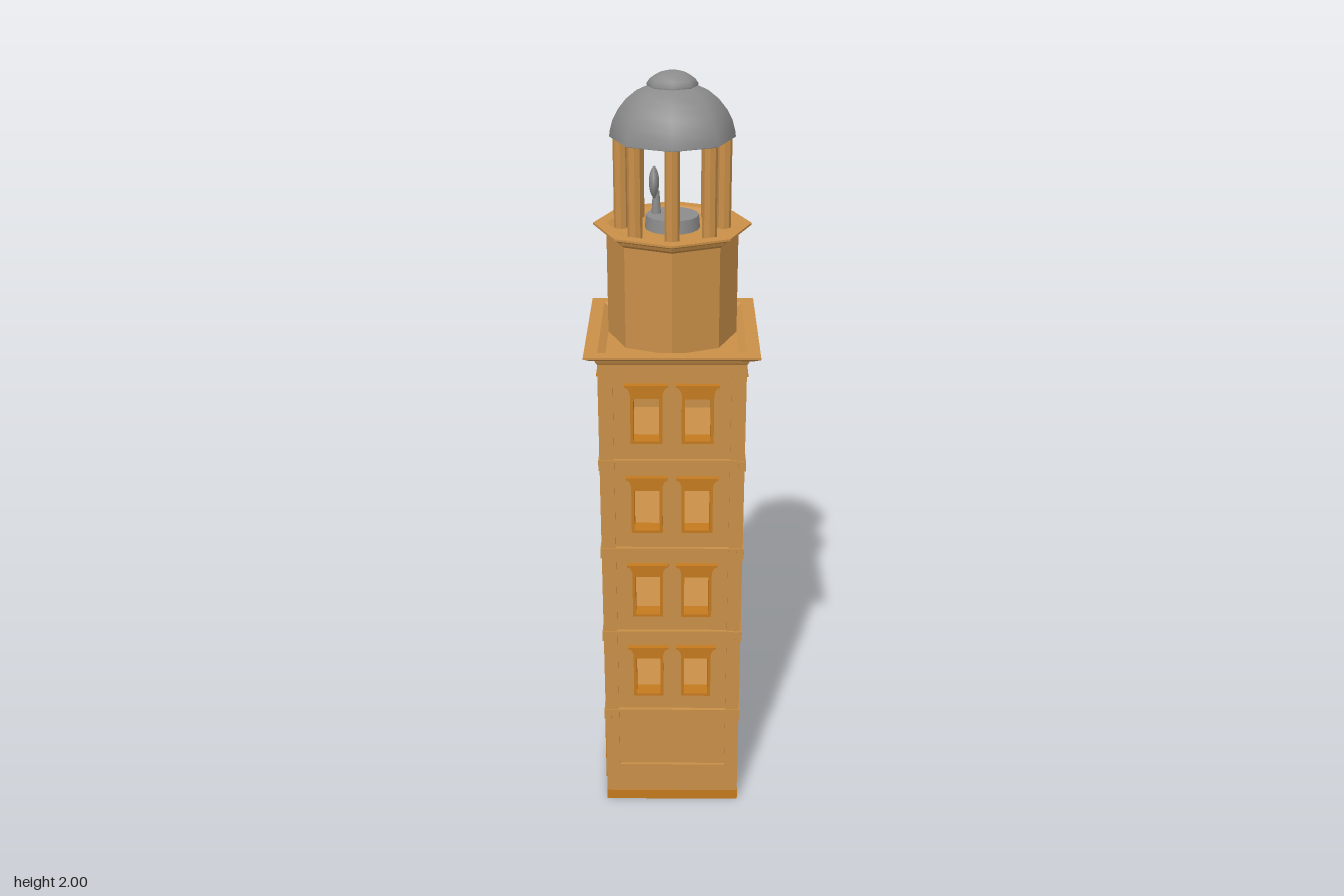
import * as THREE from 'three';

const stone = new THREE.MeshStandardMaterial({ color: 0xc98f48, flatShading: true });
const trim = new THREE.MeshStandardMaterial({ color: 0xc47a1e, flatShading: true });
const metal = new THREE.MeshStandardMaterial({ color: 0x8c8c8c });

const HALF = 0.183, PANEL = 0.176, PITCH = 0.2545;
const floors = [0, 1, 2, 3];

function add(parent, name, geometry, material, x = 0, y = 0, z = 0) {
  const mesh = new THREE.Mesh(geometry, material);
  mesh.name = name;
  mesh.position.set(x, y, z);
  parent.add(mesh);
  return mesh;
}
const box = (w, h, d) => new THREE.BoxGeometry(w, h, d);
const path = (points, Type = THREE.Shape) => new Type(points.map(p => new THREE.Vector2(...p)));
const rect = (x, y0, y1, hw, Type) => path([[x - hw, y0], [x + hw, y0], [x + hw, y1], [x - hw, y1]], Type);

// Round-topped outline standing on y0
function arch(hw, y0, top, Type = THREE.Shape) {
  const s = new Type();
  s.moveTo(-hw, y0);
  s.lineTo(hw, y0);
  s.lineTo(hw, top - hw);
  s.absarc(0, top - hw, hw, 0, Math.PI, false);
  s.lineTo(-hw, y0);
  return s;
}

// Extrusion running from z0 to z1
function slab(shape, z0, z1) {
  return new THREE.ExtrudeGeometry(shape, { depth: z1 - z0, bevelEnabled: false, curveSegments: 10 }).translate(0, 0, z0);
}
function lathe(points, sides, start = 0) {
  return new THREE.LatheGeometry(points.map(p => new THREE.Vector2(...p)), sides, start);
}

function addWindow(wall, x, dy) {
  const frame = rect(x, 0.353 + dy, 0.495 + dy, 0.04);
  frame.holes.push(rect(x, 0.36 + dy, 0.475 + dy, 0.032, THREE.Path));
  add(wall, 'windowFrame', slab(frame, 0.14, 0.182), trim);
  const lintel = path([[x - 0.04, 0.488 + dy], [x + 0.04, 0.488 + dy], [x + 0.044, 0.5 + dy],
    [x + 0.053, 0.508 + dy], [x + 0.053, 0.514 + dy], [x - 0.053, 0.514 + dy],
    [x - 0.053, 0.508 + dy], [x - 0.044, 0.5 + dy]]);
  add(wall, 'windowLintel', slab(lintel, 0.17, 0.185), trim);
  add(wall, 'windowCap', box(0.108, 0.006, 0.02), trim, x, 0.511 + dy, 0.18);
}

// One side of the shaft, facing +z
function makeWall(hasDoor) {
  const wall = new THREE.Group();
  wall.name = hasDoor ? 'doorWall' : 'wall';
  const sheet = rect(0, 0.02, 1.345, 0.152);
  for (const i of floors) for (const x of [-0.064, 0.064])
    sheet.holes.push(rect(x, 0.355 + i * PITCH, 0.49 + i * PITCH, 0.038, THREE.Path));
  if (hasDoor) sheet.holes.push(arch(0.062, 0.025, 0.255, THREE.Path));
  add(wall, 'wallPanel', slab(sheet, 0.145, PANEL), stone);
  for (const i of floors) for (const x of [-0.064, 0.064]) addWindow(wall, x, i * PITCH);

  // Raised strips above and below the recessed panel
  add(wall, 'upperStrip', box(0.3, 0.045, 0.02), stone, 0, 1.325, HALF - 0.01);
  if (hasDoor) {
    for (const s of [-1, 1]) add(wall, 'lowerStrip', box(0.07, 0.12, 0.02), stone, s * 0.115, 0.06, HALF - 0.01);
    const surround = arch(0.085, 0, 0.28);
    surround.holes.push(arch(0.06, 0.004, 0.255, THREE.Path));
    add(wall, 'doorSurround', slab(surround, 0.14, 0.191), trim);
    add(wall, 'door', slab(arch(0.064, 0.01, 0.258), 0.132, 0.142), trim);
  } else {
    add(wall, 'lowerStrip', box(0.3, 0.12, 0.02), stone, 0, 0.06, HALF - 0.01);
  }
  // Corner post
  add(wall, 'cornerPost', box(0.037, 1.335, 0.037), stone, HALF - 0.0185, 0.6775, HALF - 0.0185);
  return wall;
}

export function createModel() {
  const model = new THREE.Group();
  model.name = 'tower';

  // Shaft
  add(model, 'plinth', box(0.368, 0.03, 0.368), trim, 0, 0.015, 0);
  for (let i = 0; i < 4; i++) {
    const wall = makeWall(i === 3);
    wall.rotation.y = i * Math.PI / 2;
    model.add(wall);
  }
  for (const i of floors) {
    const y = 0.305 + i * PITCH;
    add(model, 'floorBand', box(0.371, 0.007, 0.371), stone, 0, y, 0);
    for (const sx of [-1, 1]) for (const sz of [-1, 1])
      add(model, 'cornerBracket', box(0.018, 0.028, 0.018), stone, sx * 0.177, y - 0.012, sz * 0.177);
  }

  // Square cornice with sunken roof
  const q = Math.SQRT2;
  const cornice = [[0.18, 1.325], [0.186, 1.335], [0.19, 1.345], [0.2, 1.347], [0.215, 1.356], [0.215, 1.361],
    [0.182, 1.361], [0.163, 1.348], [0, 1.348]].map(([r, y]) => [r * q, y]);
  add(model, 'cornice', lathe(cornice, 4, Math.PI / 4), stone);

  // Octagonal drum and its cornice
  add(model, 'drum', lathe([[0.163, 1.345], [0.163, 1.605], [0.172, 1.612], [0.176, 1.62], [0.195, 1.628],
    [0.195, 1.633], [0.162, 1.633], [0.148, 1.622], [0, 1.622]], 8), stone);

  // Lantern columns on the octagon's corners
  for (let i = 0; i < 8; i++) {
    const a = i * Math.PI / 4;
    const column = add(model, 'column', new THREE.CylinderGeometry(0.018, 0.018, 0.23, 8), stone,
      0.126 * Math.sin(a), 1.735, 0.126 * Math.cos(a));
    column.rotation.y = a;
  }

  // Lamp
  add(model, 'lampBase', new THREE.CylinderGeometry(0.065, 0.068, 0.033, 16), metal, 0, 1.638, 0);
  add(model, 'lampPost', new THREE.CylinderGeometry(0.008, 0.012, 0.06, 8), metal, -0.04, 1.68, -0.01);
  const lamp = new THREE.Group();
  lamp.name = 'lamp';
  lamp.position.set(-0.045, 1.73, -0.015);
  add(lamp, 'lampLens', new THREE.SphereGeometry(0.036, 14, 10).scale(0.35, 1, 1), metal);
  add(lamp, 'lampRim', new THREE.TorusGeometry(0.036, 0.004, 6, 16).rotateY(Math.PI / 2), metal);
  model.add(lamp);

  // Dome and crown
  add(model, 'domeSoffit', new THREE.CylinderGeometry(0.151, 0.148, 0.008, 8), metal, 0, 1.847, 0);
  add(model, 'dome', lathe([[0.152, 1.845], [0.15, 1.86], [0.143, 1.885], [0.13, 1.91], [0.11, 1.935],
    [0.085, 1.955], [0.05, 1.97], [0, 1.975]], 8), metal);
  add(model, 'crown', lathe([[0.058, 1.962], [0.062, 1.97], [0.054, 1.982], [0.038, 1.993], [0.018, 1.999], [0, 2]], 8), metal);
  return model;
}
